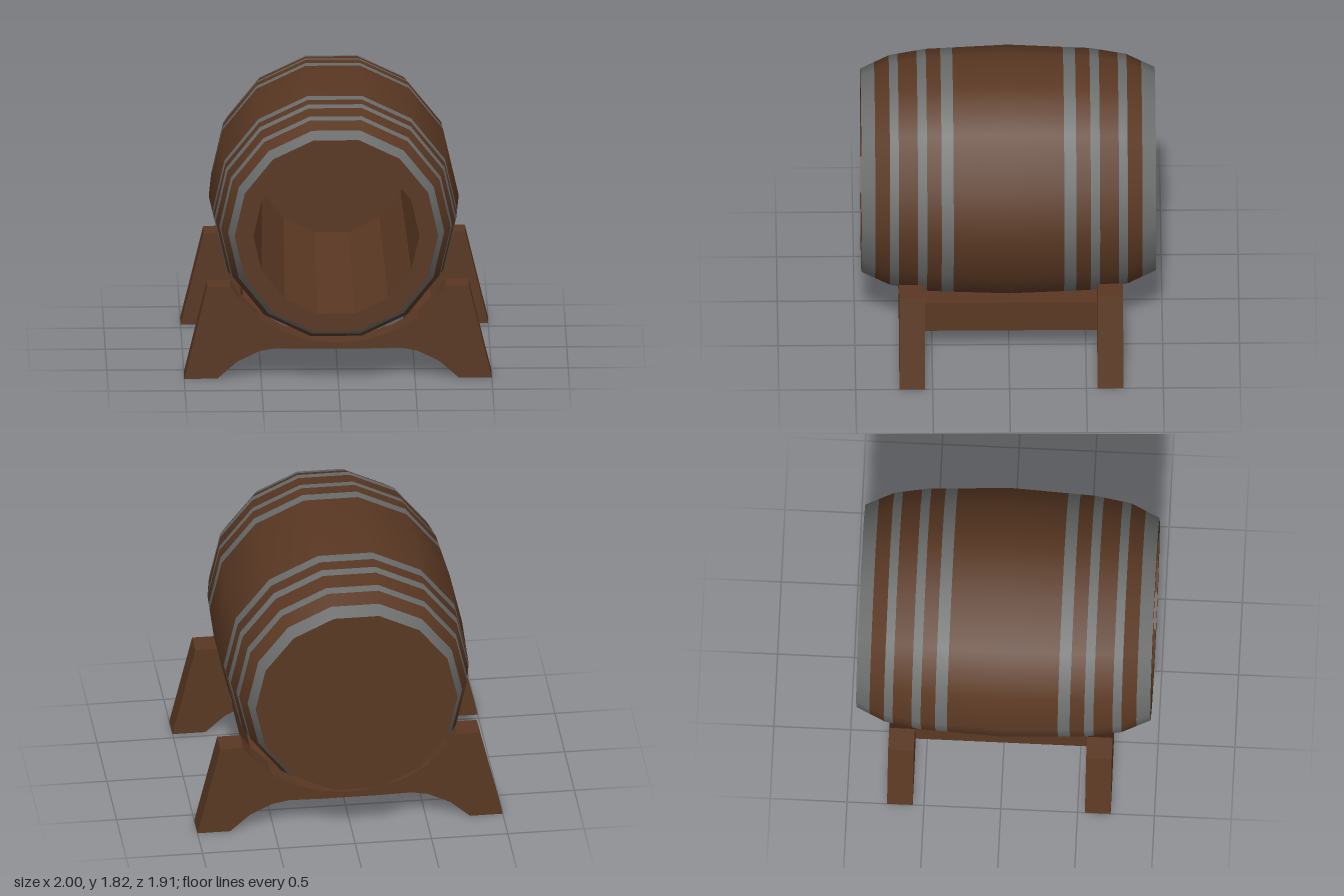
import * as THREE from 'three';

const SIDES = 14;
const HALF = 0.957; // half length of the barrel
const AXIS = { x: -0.015, y: 1.03 };

// Barrel radius along its length, from the middle to the end
const BULGE = [[0, 0.8125], [0.54, 0.787], [0.77, 0.748], [HALF, 0.662]];

function radiusAt(z) {
  const a = Math.abs(z);
  for (let i = 1; i < BULGE.length; i++) {
    const [z0, r0] = BULGE[i - 1];
    const [z1, r1] = BULGE[i];
    if (a <= z1) return r0 + ((r1 - r0) * (a - z0)) / (z1 - z0);
  }
  return BULGE[BULGE.length - 1][1];
}

// Turns a list of [radius, z] points around the barrel axis
function turned(points, flat = false) {
  let geo = new THREE.LatheGeometry(points.map(([r, z]) => new THREE.Vector2(r, z)), SIDES, Math.PI / 2);
  geo.rotateX(Math.PI / 2);
  if (flat) {
    geo = geo.toNonIndexed();
    geo.computeVertexNormals();
  }
  return geo;
}

// Outer shell between two stations, following the bulge
function shell(z0, z1) {
  const knots = BULGE.flatMap(([z]) => [z, -z]).filter((z) => z > z0 + 1e-4 && z < z1 - 1e-4);
  const stations = [...new Set([z0, ...knots, z1])].sort((a, b) => a - b);
  return turned(stations.map((z) => [radiusAt(z), z]));
}

export function createModel() {
  const wood = new THREE.MeshStandardMaterial({ color: 0x5a3823 });
  wood.name = 'brown wood';
  const iron = new THREE.MeshStandardMaterial({ color: 0x6c6d6d });
  iron.name = 'grey iron';

  const model = new THREE.Group();
  model.name = 'barrelOnCradle';
  const add = (parent, name, geo, mat) => {
    const mesh = new THREE.Mesh(geo, mat);
    mesh.name = name;
    parent.add(mesh);
    return mesh;
  };

  // Barrel wall: staves and hoops alternate from back to front
  const barrel = new THREE.Group();
  barrel.name = 'barrel';
  barrel.position.set(AXIS.x, AXIS.y, 0);
  model.add(barrel);
  const edges = [0.36, 0.438, 0.532, 0.592, 0.715, 0.773, 0.868, HALF];
  const cuts = [...edges.map((z) => -z).reverse(), ...edges];
  for (let i = 0; i + 1 < cuts.length; i++) {
    const hoop = i % 2 === 0;
    add(barrel, hoop ? 'hoop' : 'staves', shell(cuts[i], cuts[i + 1]), hoop ? iron : wood);
  }

  // Closed back, open front with a deep tapering bore
  const end = radiusAt(HALF);
  const floorZ = -0.85;
  add(barrel, 'backHead', turned([[0, -HALF], [end, -HALF]]), wood);
  add(barrel, 'frontRim', turned([[end, HALF], [0.54, HALF]]), wood);
  add(barrel, 'bore', turned([[0.54, HALF], [0.5, floorZ]], true), wood);
  add(barrel, 'boreFloor', turned([[0.5, floorZ], [0, floorZ]]), wood);

  // Cradle end panels: one half outline, mirrored
  const cradle = new THREE.Group();
  cradle.name = 'cradle';
  model.add(cradle);
  const half = [
    [0.2, 0.2], [0.4, 0.205], [0.51, 0.185], [0.655, 0.115], [0.785, 0], [1, 0],
    [0.85, 0.62], [0.7, 0.62], [0.64, 0.535], [0.52, 0.41], [0.36, 0.315], [0.18, 0.257],
  ];
  const outline = [...half, [0, 0.24], ...half.map(([x, y]) => [-x, y]).reverse()];
  const panelShape = new THREE.Shape(outline.map(([x, y]) => new THREE.Vector2(x, y)));
  const depth = 0.167;
  for (const [name, z] of [['frontPanel', 0.548], ['backPanel', -0.74]]) {
    const geo = new THREE.ExtrudeGeometry(panelShape, { depth, bevelEnabled: false });
    add(cradle, name, geo, wood).position.z = z;
  }

  // Side rails joining the panels
  const railLength = 0.548 + 0.74 - depth;
  for (const side of [-1, 1]) {
    const rail = add(cradle, side > 0 ? 'leftRail' : 'rightRail', new THREE.BoxGeometry(0.17, 0.22, railLength), wood);
    rail.position.set(side * 0.525, 0.3, 0.548 - railLength / 2);
  }

  return model;
}
